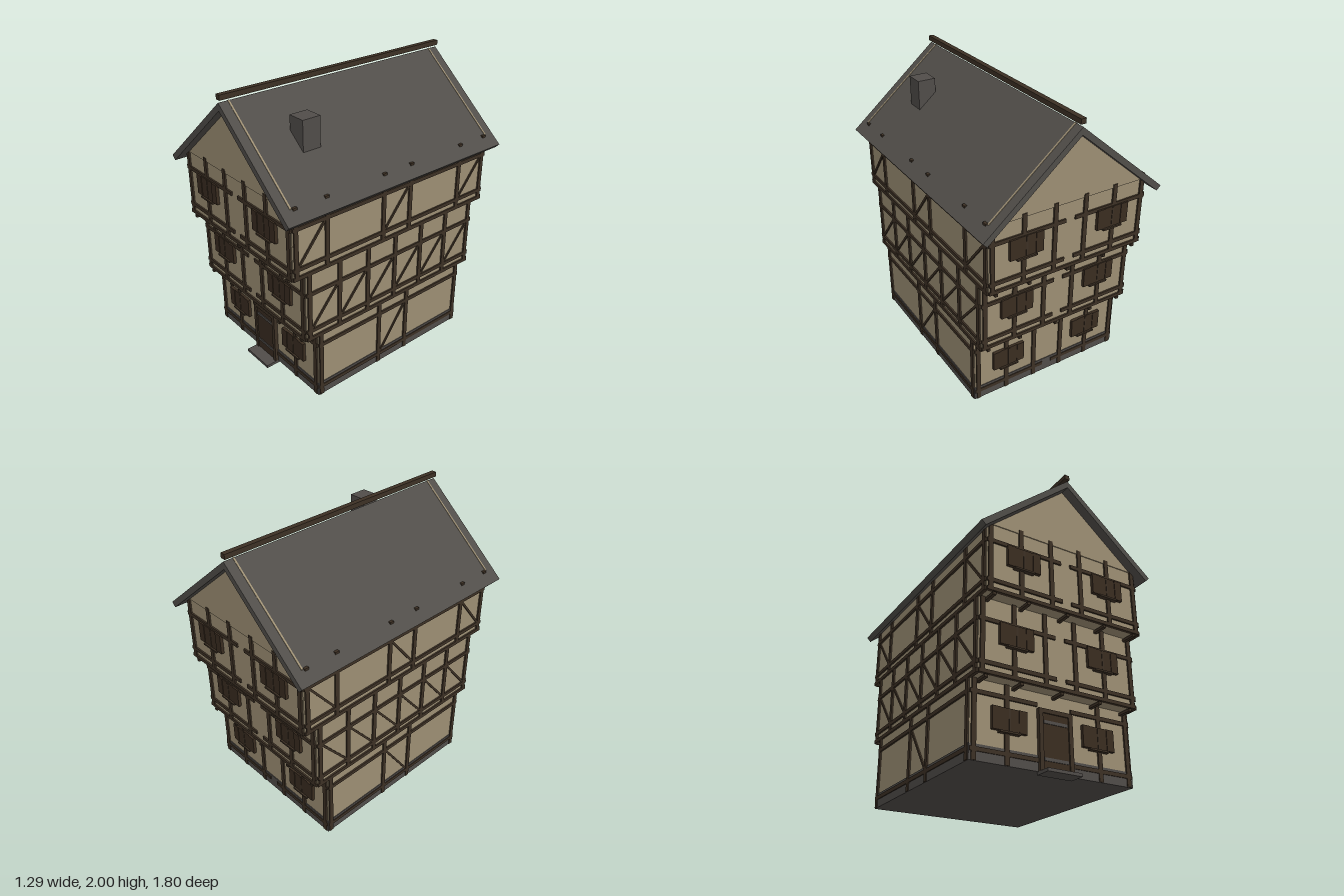
import * as THREE from 'three';

const mat = (name, color) => {
  const m = new THREE.MeshStandardMaterial({ color });
  m.name = name;
  return m;
};

export function createModel() {
  const plaster = mat('plaster', 0x9c8e73);
  const timber = mat('darkTimber', 0x3c3024);
  const wood = mat('doorWood', 0x392c20);
  const slate = mat('roofSlate', 0x504d49);
  const stone = mat('stone', 0x504c49);

  const house = new THREE.Group();
  house.name = 'timberHouse';

  // Box given by its limits on each axis
  function box(parent, name, m, [x0, x1], [y0, y1], [z0, z1]) {
    const mesh = new THREE.Mesh(new THREE.BoxGeometry(x1 - x0, y1 - y0, z1 - z0), m);
    mesh.position.set((x0 + x1) / 2, (y0 + y1) / 2, (z0 + z1) / 2);
    mesh.name = name;
    parent.add(mesh);
    return mesh;
  }
  const around = (c, w) => [c - w / 2, c + w / 2];
  const group = (parent, name) => {
    const g = new THREE.Group();
    g.name = name;
    parent.add(g);
    return g;
  };
  // Shape in x and y, extruded along z about a centre
  function extrude(name, m, points, depth, z) {
    const shape = new THREE.Shape(points.map(([x, y]) => new THREE.Vector2(x, y)));
    const geo = new THREE.ExtrudeGeometry(shape, { depth, bevelEnabled: false });
    geo.translate(0, 0, z - depth / 2);
    const mesh = new THREE.Mesh(geo, m);
    mesh.name = name;
    house.add(mesh);
  }

  const W = 0.57; // half width of the walls
  const T = 0.03; // timber width

  // Window with frame, two shutters and a sill, facing +z
  function addWindow(parent, x, top, z) {
    const g = group(parent, 'window');
    box(g, 'windowFrame', wood, around(x, 0.13), [top - 0.145, top], [z, z + 0.018]);
    box(g, 'mullion', timber, around(x, 0.012), [top - 0.14, top - 0.005], [z, z + 0.021]);
    for (const s of [-1, 1])
      box(g, 'shutter', wood, around(x + s * 0.09, 0.054), [top - 0.14, top], [z, z + 0.022]);
    box(g, 'windowSill', timber, around(x, 0.14), [top - 0.153, top - 0.141], [z, z + 0.03]);
  }

  // Storeys, each one jettied out over the one below
  const storeys = [
    { y0: 0.02, y1: 0.505, d: 0.65, rails: [0.425, 0.085], sill: null, win: 0.357,
      posts: [0.63, 0.127, -0.127, -0.63], braced: [1] },
    { y0: 0.505, y1: 0.99, d: 0.74, rails: [0.847, 0.573], sill: 0.515, win: 0.847,
      posts: [0.714, 0.476, 0.238, 0, -0.238, -0.476, -0.714], braced: [0, 1, 2, 3, 4, 5] },
    { y0: 0.99, y1: 1.475, d: 0.83, rails: [1.333, 1.06], sill: 1.0, win: 1.33,
      posts: [0.805, 0.573, 0.116, -0.116, -0.573, -0.805], braced: [0, 2, 4] },
  ];

  storeys.forEach((st, i) => {
    const g = group(house, ['groundStorey', 'middleStorey', 'upperStorey'][i]);
    const { y0, y1, d, rails, sill, posts, braced } = st;
    box(g, 'walls', plaster, [-W, W], [y0, i === 2 ? 1.45 : y1], [-d, d]);

    // Front and back framing; the back is the front turned round
    for (const back of [false, true]) {
      const face = group(g, back ? 'backFraming' : 'frontFraming');
      if (back) face.rotation.y = Math.PI;
      const zr = around(d, 0.022);
      const hasDoor = i === 0 && !back;
      const xs = hasDoor ? [0.33, 0.545] : [0.11, 0.33, 0.545];
      for (const s of [-1, 1]) {
        for (const x of xs) box(face, 'post', timber, around(s * x, T), [y0, y1], zr);
        const inner = hasDoor ? 0.12 : 0.035;
        for (const y of rails)
          box(face, 'rail', timber, around(s * (inner + W) / 2, W - inner), around(y, 0.026), zr);
        addWindow(face, s * 0.317, st.win, d);
      }
      if (sill) {
        box(face, 'sillBeam', timber, [-W, W], around(sill, 0.024), zr);
        // Joist ends carrying the overhang
        for (const x of [-0.52, -0.283, 0, 0.283, 0.52])
          box(face, 'joistEnd', timber, around(x, 0.022), [y0 - 0.026, y0 - 0.008], [d - 0.1, d + 0.01]);
      }
    }

    // Side framing with diagonal braces, mirrored
    for (const s of [-1, 1]) {
      const side = group(g, s > 0 ? 'leftFraming' : 'rightFraming');
      const xr = around(s * W, 0.022);
      for (const z of posts) box(side, 'post', timber, xr, [y0, y1], around(z, T));
      for (const y of sill ? [...rails, sill] : rails)
        box(side, 'rail', timber, xr, around(y, 0.026), [-d, d]);
      for (const b of braced) {
        const dz = posts[b + 1] - posts[b] + T;
        const dy = rails[0] - rails[1] - 0.026;
        const brace = new THREE.Mesh(new THREE.BoxGeometry(0.018, Math.hypot(dy, dz), 0.015), timber);
        brace.position.set(s * W, (rails[0] + rails[1]) / 2, (posts[b] + posts[b + 1]) / 2);
        brace.rotation.x = Math.atan2(dz, dy);
        brace.name = 'brace';
        side.add(brace);
      }
    }
  });

  // Stone footing
  box(house, 'footing', stone, [-0.575, 0.575], [0.018, 0.115], [-0.655, 0.655]);

  // Front door with frame, iron straps and step
  const door = group(house, 'door');
  for (const s of [-1, 1])
    box(door, 'doorJamb', timber, around(s * 0.106, 0.028), [0.02, 0.403], [0.64, 0.677]);
  box(door, 'doorLintel', timber, [-0.092, 0.092], [0.376, 0.403], [0.64, 0.677]);
  box(door, 'doorPanel', wood, [-0.092, 0.092], [0.02, 0.376], [0.64, 0.668]);
  for (const y of [0.095, 0.322])
    box(door, 'strapHinge', stone, [-0.085, 0.085], around(y, 0.02), [0.666, 0.673]);
  box(door, 'doorStep', stone, [-0.12, 0.12], [0, 0.02], [0.64, 0.75]);

  // Gable walls
  for (const s of [-1, 1])
    extrude('gable', plaster,
      [[-W, 1.45], [W, 1.45], [W, 1.474], [0, 1.953], [-W, 1.474]], 0.012, s * 0.83);

  // Roof, ridge beam and chimney
  extrude('roof', slate,
    [[0, 1.95], [-0.645, 1.406], [-0.617, 1.377], [0, 1.9], [0.617, 1.377], [0.645, 1.406]], 1.8, 0);
  box(house, 'ridgeBeam', timber, [-0.018, 0.018], [1.967, 2], [-0.9, 0.9]);
  box(house, 'chimney', stone, [0.22, 0.345], [1.62, 1.86], [0.43, 0.56]);

  return house;
}
